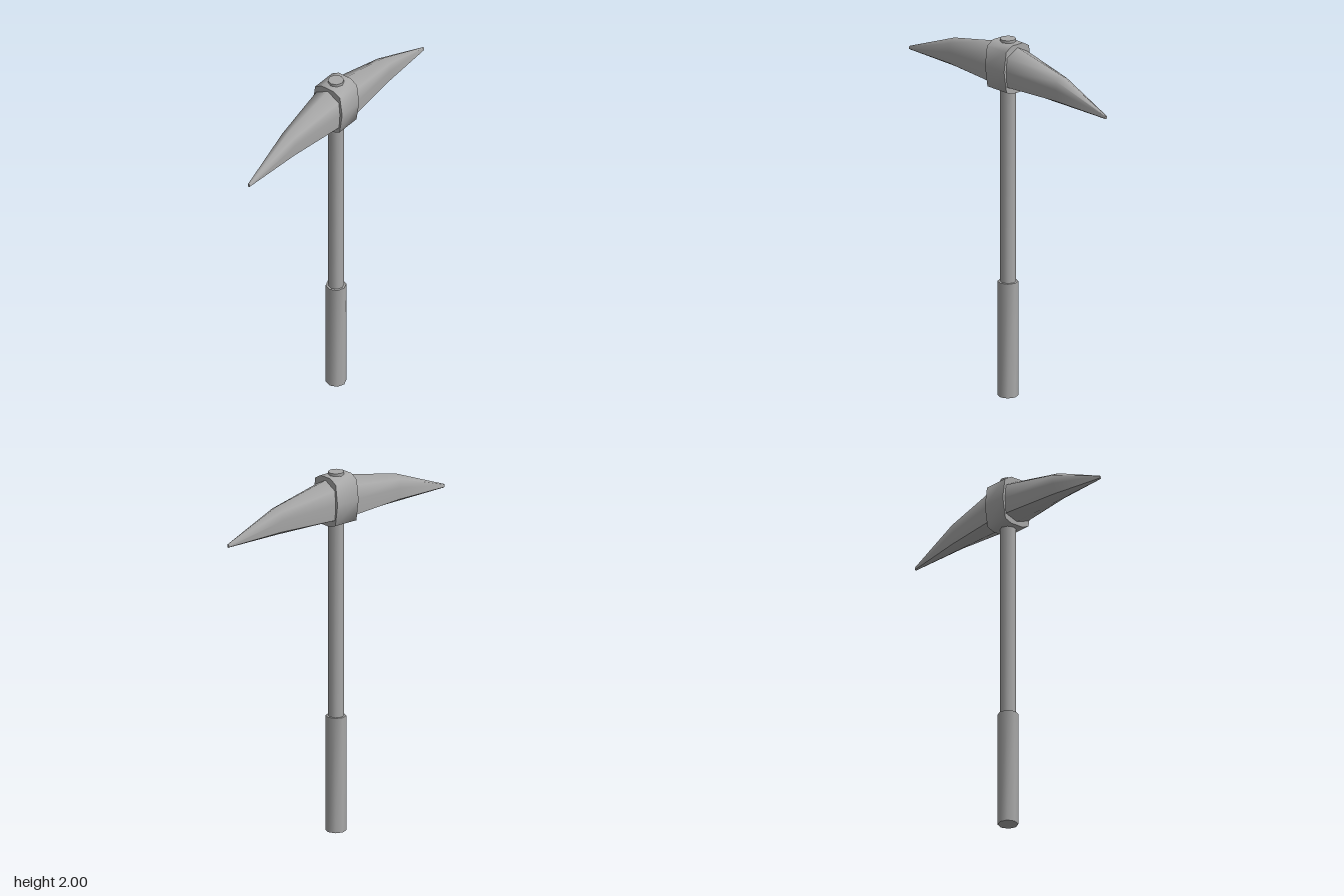
import * as THREE from 'three';
import { toCreasedNormals } from 'three/addons/utils/BufferGeometryUtils.js';

const material = new THREE.MeshStandardMaterial({ color: 0xa8a8a8 });

function addPart(group, name, geometry) {
  const mesh = new THREE.Mesh(geometry, material);
  mesh.name = name;
  group.add(mesh);
  return mesh;
}

// Mirror a [z, y] half profile in z, giving the points of the other half in reverse
const mirrored = (points) => points.map(([z, y]) => [-z, y]).reverse();

// Stretch a smooth skin over rows of [z, y] points set along x
function skin(rows) {
  const positions = [];
  const index = [];
  const n = rows[0].points.length;
  for (const { x, points } of rows) {
    for (const [z, y] of points) positions.push(x, y, z);
  }
  for (let r = 0; r < rows.length - 1; r++) {
    for (let i = 0; i < n - 1; i++) {
      const a = r * n + i;
      index.push(a, a + 1, a + n, a + 1, a + n + 1, a + n);
    }
  }
  const geometry = new THREE.BufferGeometry();
  geometry.setAttribute('position', new THREE.Float32BufferAttribute(positions, 3));
  geometry.setIndex(index);
  return toCreasedNormals(geometry, 1.15);
}

export function createModel() {
  const group = new THREE.Group();
  group.name = 'pickaxe';

  // Octagonal shaft, passing through the collar
  const shaft = new THREE.CylinderGeometry(0.043, 0.043, 1.98, 8);
  addPart(group, 'handle', toCreasedNormals(shaft, 0.9)).position.y = 1.01;

  // Thicker grip at the foot
  const grip = new THREE.CylinderGeometry(0.055, 0.055, 0.64, 8);
  addPart(group, 'grip', toCreasedNormals(grip, 0.9)).position.y = 0.32;

  // Head sections from the collar to the tip; the last one closes the blunt point
  const half = [
    { x: 0.07, ridge: 1.968, shoulder: 1.927, belly: 1.85, edge: 1.762, keel: 1.735, w: 0.083 },
    { x: 0.41, ridge: 1.897, shoulder: 1.875, belly: 1.825, edge: 1.763, keel: 1.739, w: 0.042 },
    { x: 0.75, ridge: 1.762, shoulder: 1.759, belly: 1.753, edge: 1.746, keel: 1.742, w: 0.006 },
    { x: 0.75, ridge: 1.752, shoulder: 1.752, belly: 1.752, edge: 1.752, keel: 1.752, w: 0 },
  ];
  const stations = [...half.map((s) => ({ ...s, x: -s.x })).reverse(), ...half];

  // Smooth upper skin, from one lower edge over the ridge to the other
  const upper = stations.map(({ x, ridge, shoulder, belly, edge, w }) => {
    const side = [[w * 0.92, shoulder], [w, belly], [w * 0.93, edge]];
    return { x, points: [...mirrored(side), [0, ridge], ...side] };
  });
  addPart(group, 'headUpper', skin(upper));

  // Underside, meeting the upper skin at a sharp edge
  const under = stations.map(({ x, edge, keel, w }) => (
    { x, points: [[w * 0.93, edge], [0, keel], [-w * 0.93, edge]] }
  ));
  addPart(group, 'headUnderside', skin(under));

  // Collar clamping the head to the shaft
  const right = [[0.04, 1.715], [0.08, 1.732], [0.098, 1.85], [0.083, 1.96], [0.04, 1.985]];
  const outline = new THREE.Shape(
    [...right, ...mirrored(right)].map(([z, y]) => new THREE.Vector2(z, y)),
  );
  const collar = new THREE.ExtrudeGeometry(outline, { depth: 0.146, bevelEnabled: false });
  collar.translate(0, 0, -0.073);
  collar.rotateY(Math.PI / 2);
  addPart(group, 'collar', toCreasedNormals(collar, 1.08));

  return group;
}
